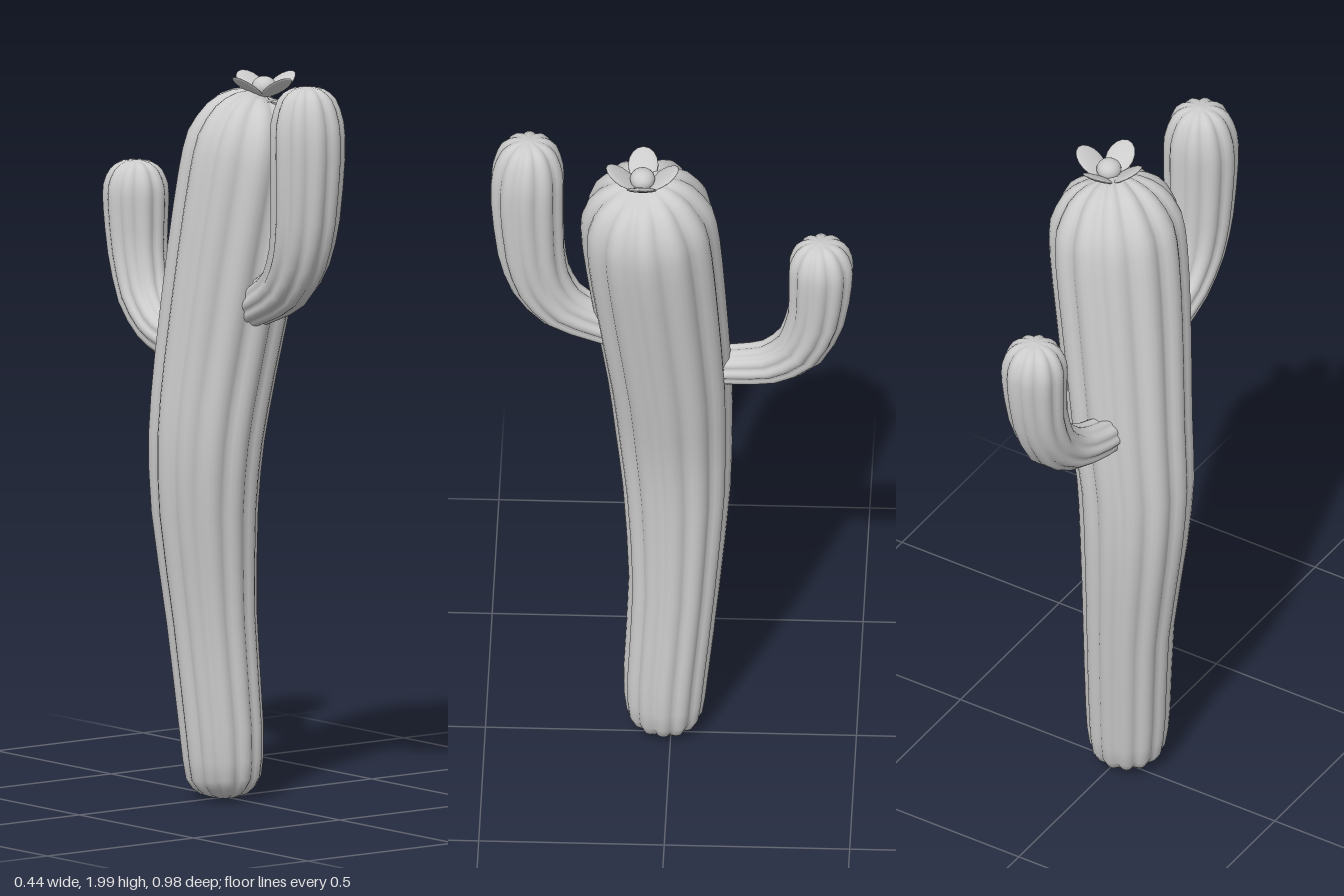
import * as THREE from 'three';

const material = new THREE.MeshStandardMaterial({ color: 0xcccccc, side: THREE.DoubleSide });

// Ribbed limb swept along stations [x, y, z, radius]
function ribbedLimb(name, stations, ribs, groove, capStart) {
  const spine = new THREE.CatmullRomCurve3(
    stations.map(([x, y, z]) => new THREE.Vector3(x, y, z)), false, 'catmullrom', 0.4);
  const radii = new THREE.CatmullRomCurve3(
    stations.map((s) => new THREE.Vector3(s[3], 0, 0)), false, 'catmullrom', 0.4);
  const rings = (stations.length - 1) * 2;
  const sides = ribs * 6;
  const maxR = Math.max(...stations.map((s) => s[3]));
  const positions = [];
  const indices = [];
  for (let i = 0; i <= rings; i++) {
    const t = i / rings;
    const c = spine.getPoint(t);
    const r = Math.max(radii.getPoint(t).x, 0);
    const dir = spine.getTangent(t);
    const u = new THREE.Vector3(1, 0, 0).addScaledVector(dir, -dir.x).normalize();
    const v = new THREE.Vector3().crossVectors(dir, u);
    // Grooves deepen towards the rounded ends
    const nearEnd = t > 0.75 || (capStart && t < 0.15);
    const depth = nearEnd ? groove + 0.12 * (1 - Math.min(r / maxR, 1)) : groove;
    for (let j = 0; j < sides; j++) {
      const a = (j / sides) * Math.PI * 2;
      const rr = r * (1 - depth + depth * Math.abs(Math.cos((ribs * a) / 2)));
      const p = c.clone().addScaledVector(u, rr * Math.cos(a)).addScaledVector(v, rr * Math.sin(a));
      positions.push(p.x, p.y, p.z);
      if (i < rings) {
        const k = (j + 1) % sides;
        const p0 = i * sides + j, p1 = i * sides + k;
        indices.push(p0, p1, p0 + sides, p1, p1 + sides, p0 + sides);
      }
    }
  }
  const geometry = new THREE.BufferGeometry();
  geometry.setAttribute('position', new THREE.Float32BufferAttribute(positions, 3));
  geometry.setIndex(indices);
  geometry.computeVertexNormals();
  const mesh = new THREE.Mesh(geometry, material);
  mesh.name = name;
  return mesh;
}

// Four cupped petals around a round bud
function createFlower() {
  const flower = new THREE.Group();
  flower.name = 'flower';
  const bud = new THREE.Mesh(new THREE.SphereGeometry(0.034, 16, 12), material);
  bud.name = 'flowerBud';
  bud.scale.y = 0.85;
  bud.position.y = 0.022;
  flower.add(bud);
  for (let i = 0; i < 4; i++) {
    const pivot = new THREE.Group();
    pivot.name = 'petal' + (i + 1);
    pivot.rotation.y = (i * Math.PI) / 2;
    const petal = new THREE.Mesh(new THREE.SphereGeometry(1, 16, 8), material);
    petal.name = 'petalBlade';
    petal.scale.set(0.052, 0.007, 0.041);
    petal.position.set(0.056, 0.026, 0);
    petal.rotation.z = 0.62;
    pivot.add(petal);
    flower.add(pivot);
  }
  return flower;
}

export function createModel() {
  const cactus = new THREE.Group();
  cactus.name = 'cactus';

  // Leaning trunk that widens upwards
  cactus.add(ribbedLimb('trunk', [
    [-0.02, 0.01, 0.02, 0],
    [-0.02, 0.025, 0.02, 0.065],
    [-0.02, 0.07, 0.018, 0.103],
    [-0.024, 0.2, 0.014, 0.115],
    [-0.04, 0.5, -0.008, 0.124],
    [-0.06, 0.8, -0.013, 0.146],
    [-0.06, 1.0, -0.005, 0.159],
    [-0.036, 1.2, 0.005, 0.169],
    [0.002, 1.5, 0.034, 0.182],
    [0.03, 1.7, 0.053, 0.187],
    [0.044, 1.81, 0.062, 0.178],
    [0.055, 1.885, 0.066, 0.137],
    [0.062, 1.922, 0.07, 0.08],
    [0.066, 1.932, 0.073, 0],
  ], 12, 0.1, true));

  // Taller arm at the front
  cactus.add(ribbedLimb('frontArm', [
    [-0.025, 1.34, 0.08, 0.055],
    [-0.024, 1.39, 0.2, 0.062],
    [-0.022, 1.445, 0.295, 0.074],
    [-0.022, 1.53, 0.352, 0.085],
    [-0.022, 1.64, 0.378, 0.094],
    [-0.022, 1.81, 0.388, 0.102],
    [-0.022, 1.9, 0.386, 0.099],
    [-0.022, 1.965, 0.384, 0.078],
    [-0.022, 1.992, 0.384, 0.045],
    [-0.022, 1.998, 0.384, 0],
  ], 10, 0.12, false));

  // Shorter arm at the back
  cactus.add(ribbedLimb('backArm', [
    [-0.05, 1.225, -0.06, 0.055],
    [-0.04, 1.237, -0.17, 0.057],
    [-0.02, 1.265, -0.27, 0.063],
    [-0.003, 1.335, -0.35, 0.073],
    [0.007, 1.45, -0.393, 0.081],
    [0.01, 1.57, -0.404, 0.089],
    [0.01, 1.63, -0.405, 0.088],
    [0.01, 1.672, -0.403, 0.07],
    [0.01, 1.692, -0.402, 0.042],
    [0.01, 1.697, -0.402, 0],
  ], 10, 0.12, false));

  // Flower on the crown
  const flower = createFlower();
  flower.position.set(0.074, 1.928, 0.074);
  cactus.add(flower);

  return cactus;
}
